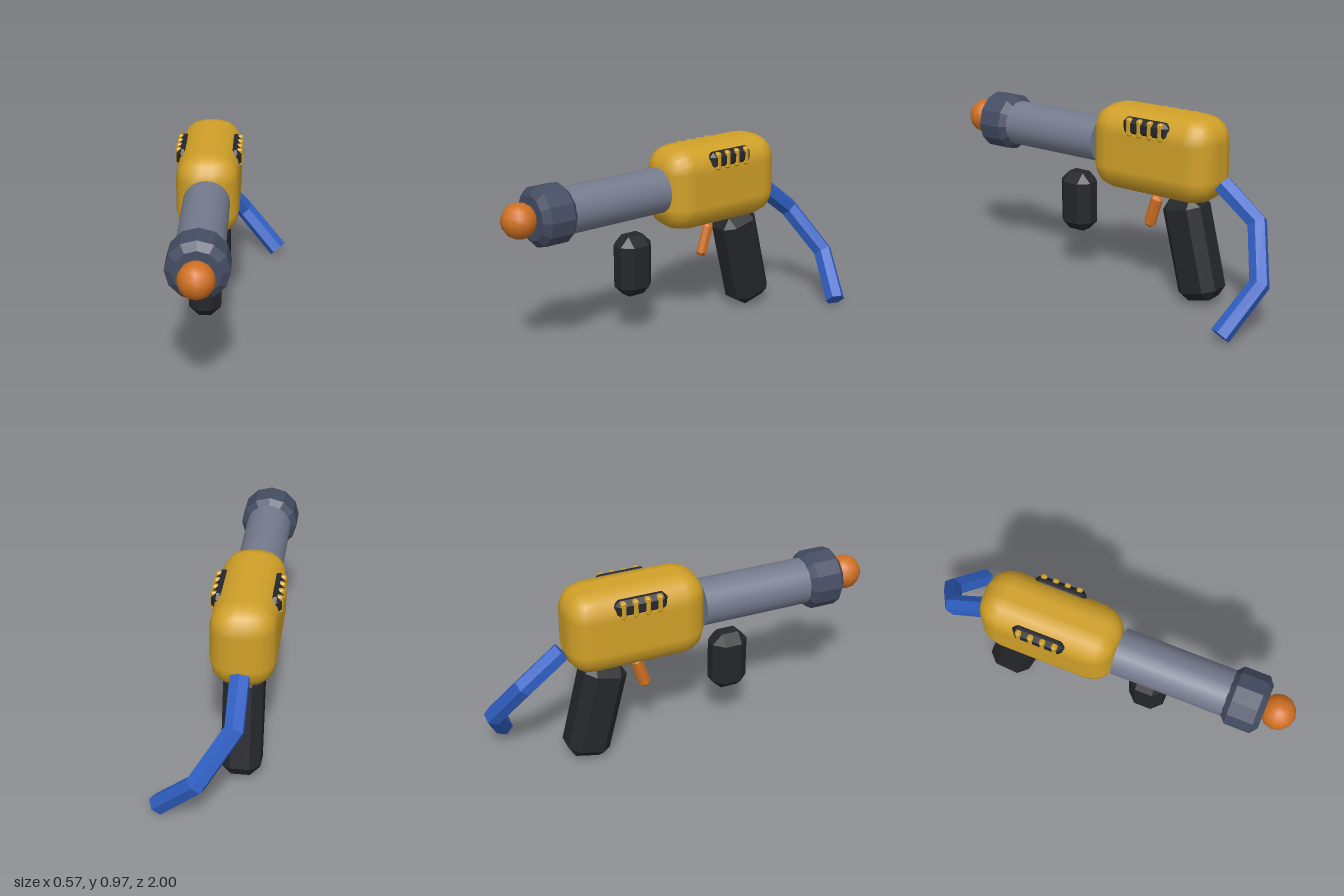
import * as THREE from 'three';
import { RoundedBoxGeometry } from 'three/addons/geometries/RoundedBoxGeometry.js';
import { ConvexGeometry } from 'three/addons/geometries/ConvexGeometry.js';

const CX = -0.115; // centre line of the blaster
const AXIS_Y = 0.765; // height of the barrel axis

const paint = (color, flatShading = false) => new THREE.MeshStandardMaterial({ color, flatShading });
const yellow = paint(0xd0a028);
const yellowFlat = paint(0xd0a028, true);
const steel = paint(0x747b8d);
const slate = paint(0x454d62, true);
const black = paint(0x25262a, true);
const orange = paint(0xd07022);
const orangeFlat = paint(0xd07022, true);
const blue = paint(0x3060c4, true);

// Box with every edge cut by a flat chamfer c.
function chamferBox(w, h, d, c) {
  const pts = [];
  const [a, b, e] = [w / 2, h / 2, d / 2];
  for (const x of [-1, 1]) for (const y of [-1, 1]) for (const z of [-1, 1]) {
    pts.push(
      new THREE.Vector3(x * a, y * (b - c), z * (e - c)),
      new THREE.Vector3(x * (a - c), y * b, z * (e - c)),
      new THREE.Vector3(x * (a - c), y * (b - c), z * e));
  }
  return new ConvexGeometry(pts);
}

// Capped six-sided pipe: a cylinder bent so its rings sit on the given points.
function bentPipe(points, radius) {
  const n = points.length - 1;
  const curve = new THREE.CatmullRomCurve3(points);
  curve.getTangentAt = (t, target) => curve.getTangent(t, target);
  const { normals, binormals } = curve.computeFrenetFrames(n);
  const geo = new THREE.CylinderGeometry(radius, radius, n, 6, n);
  const pos = geo.attributes.position;
  const v = new THREE.Vector3();
  for (let i = 0; i < pos.count; i++) {
    v.fromBufferAttribute(pos, i);
    const ring = Math.round(v.y + n / 2);
    const p = points[ring].clone()
      .addScaledVector(normals[ring], v.x)
      .addScaledVector(binormals[ring], -v.z);
    pos.setXYZ(i, p.x, p.y, p.z);
  }
  geo.computeVertexNormals();
  return geo;
}

export function createModel() {
  const model = new THREE.Group();
  model.name = 'toyBlaster';
  const add = (name, geo, mat, x, y, z, tilt = 0) => {
    const mesh = new THREE.Mesh(geo, mat);
    mesh.name = name;
    mesh.position.set(x, y, z);
    mesh.rotation.x = tilt;
    model.add(mesh);
    return mesh;
  };

  // Main body
  add('body', new RoundedBoxGeometry(0.32, 0.44, 0.715, 2, 0.13), yellow, CX, 0.762, -0.265);

  // Barrel, muzzle ring and ball tip
  add('barrel', new THREE.CylinderGeometry(0.118, 0.118, 0.6, 24), steel, CX, AXIS_Y, 0.39, Math.PI / 2);
  const ring = [[0, 0], [0.118, 0], [0.15, 0.03], [0.15, 0.16], [0.112, 0.19], [0, 0.19]]
    .map(([r, y]) => new THREE.Vector2(r, y));
  add('muzzle', new THREE.LatheGeometry(ring, 12), slate, CX, AXIS_Y, 0.66, Math.PI / 2);
  add('ballTip', new THREE.SphereGeometry(0.088, 12, 8), orange, CX, AXIS_Y, 0.912);

  // Handles and trigger
  add('foregrip', chamferBox(0.16, 0.32, 0.19, 0.05), black, CX, 0.405, 0.255);
  add('rearGrip', chamferBox(0.195, 0.53, 0.225, 0.05), black, CX, 0.295, -0.475, 0.24);
  add('trigger', chamferBox(0.05, 0.18, 0.06, 0.017), orangeFlat, CX, 0.437, -0.223, -0.3);

  // Side vents, each with four ribs
  for (const [side, s] of [['left', 1], ['right', -1]]) {
    add(`${side}Vent`, chamferBox(0.065, 0.09, 0.27, 0.024), black, CX + s * 0.134, 0.905, -0.27);
    for (let i = 0; i < 4; i++) {
      add(`${side}VentRib`, chamferBox(0.034, 0.092, 0.03, 0.008), yellowFlat,
        CX + s * 0.154, 0.904, -0.18 - i * 0.062);
    }
  }

  // Hose trailing from the back
  const path = [[CX, 0.655, -0.63], [CX, 0.5, -0.83], [0.05, 0.26, -0.948], [0.247, 0.046, -0.86]]
    .map((p) => new THREE.Vector3(...p));
  add('hose', bentPipe(path, 0.052), blue, 0, 0, 0);

  return model;
}
